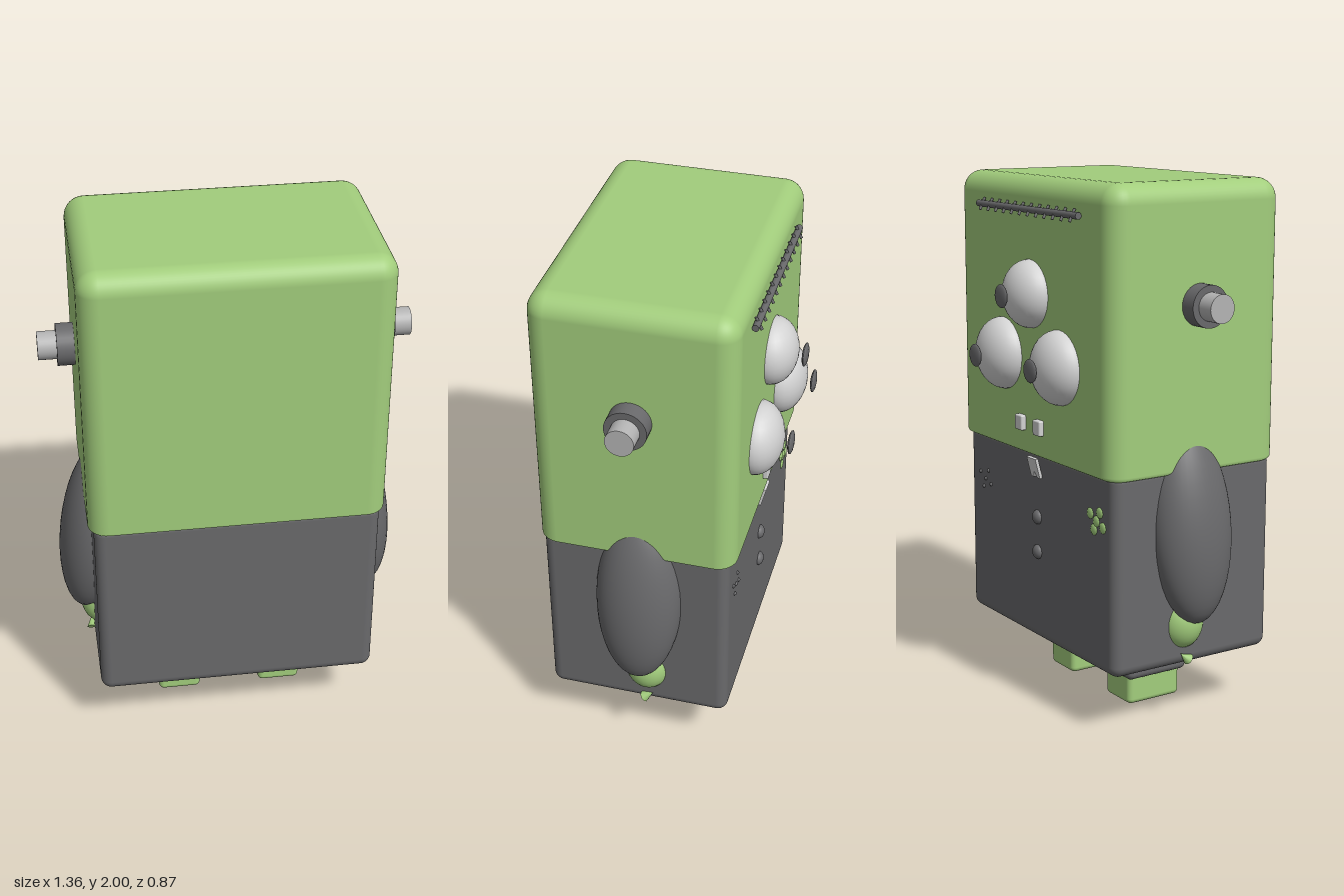
import * as THREE from 'three';
import { RoundedBoxGeometry } from 'three/addons/geometries/RoundedBoxGeometry.js';

export function createModel() {
  const root = new THREE.Group();
  root.name = 'boxMonster';
  const mat = (name, color, side = THREE.FrontSide) => {
    const m = new THREE.MeshStandardMaterial({ color, side });
    m.name = name;
    return m;
  };
  const green = mat('green', 0xa2cd7c);
  const dark = mat('charcoal', 0x69696b);
  const white = mat('offWhite', 0xd2d2d2);
  const grey = mat('boltGrey', 0xb4b4b4);

  const add = (name, geo, material, x, y, z, parent = root) => {
    const m = new THREE.Mesh(geo, material);
    m.name = name;
    m.position.set(x, y, z);
    parent.add(m);
    return m;
  };
  // rounded box given by its limits
  const box = (name, material, x0, x1, y0, y1, z0, z1, r) =>
    add(name, new RoundedBoxGeometry(x1 - x0, y1 - y0, z1 - z0, 5, r), material,
      (x0 + x1) / 2, (y0 + y1) / 2, (z0 + z1) / 2);
  const ball = (name, material, x, y, z, sx, sy, sz, seg = 32) => {
    const m = add(name, new THREE.SphereGeometry(1, seg, seg / 2), material, x, y, z);
    m.scale.set(sx, sy, sz);
    return m;
  };

  // head, with a tighter rounding along its lower rim
  const head = box('head', green, -0.55, 0.55, 0.95, 2.0, -0.305, 0.435, 0.075);
  const p = head.geometry.attributes.position;
  for (let i = 0; i < p.count; i++) {
    const up = p.getY(i) + 0.525;
    if (up < 0.08) p.setY(i, -0.525 + up * 0.35);
  }

  // body and its underside
  box('body', dark, -0.53, 0.53, 0.225, 0.99, -0.28, 0.42, 0.04);
  add('undersidePanel', new THREE.BoxGeometry(0.95, 0.008, 0.58), green, 0, 0.224, 0.07);
  ball('undersideDome', green, 0, 0.225, 0.07, 0.2, 0.02, 0.16);

  for (const s of [1, -1]) {
    // legs and feet
    box('leg', dark, s * 0.203 - 0.112, s * 0.203 + 0.112, 0.108, 0.26, -0.07, 0.2, 0.025);
    box('foot', green, s * 0.203 - 0.083, s * 0.203 + 0.083, 0, 0.16, -0.05, 0.185, 0.02);

    // arms leaning outwards at the bottom, with hand and thumb
    const arm = ball('arm', dark, s * 0.517, 0.755, 0.058, 0.125, 0.365, 0.163, 40);
    arm.rotation.z = s * 0.135;
    ball('hand', green, s * 0.497, 0.385, 0.035, 0.08, 0.1, 0.085);
    const thumb = add('thumb', new THREE.ConeGeometry(0.022, 0.045, 10), green, s * 0.538, 0.262, 0.025);
    thumb.rotation.x = -0.9;

    // ear bolts
    const ear = new THREE.Group();
    ear.name = 'earBolt';
    root.add(ear);
    const ring = add('boltRing', new THREE.CylinderGeometry(0.077, 0.077, 0.075, 32), dark, s * 0.576, 1.567, 0.065, ear);
    const tip = add('boltTip', new THREE.CylinderGeometry(0.052, 0.052, 0.08, 32), grey, s * 0.642, 1.567, 0.065, ear);
    ring.rotation.z = tip.rotation.z = Math.PI / 2;

    // teeth
    box('tooth', white, s * 0.065 - 0.025, s * 0.065 + 0.025, 1.05, 1.108, -0.325, -0.29, 0.006);
  }

  // three eyes with floating pupils
  for (const [x, y, r] of [[0, 1.572, 0.127], [0.202, 1.325, 0.138], [-0.202, 1.325, 0.138]]) {
    ball('eye', white, x, y, -0.305, r, r, 0.097);
    ball('pupil', dark, x, y, -0.427, 0.044, 0.044, 0.011, 16);
  }

  // stitched brow
  const brow = add('brow', new THREE.CylinderGeometry(0.013, 0.013, 0.71, 10), dark, 0, 1.882, -0.318);
  brow.rotation.z = Math.PI / 2;
  for (let i = 0; i < 12; i++) {
    const stitch = add('browStitch', new THREE.CylinderGeometry(0.006, 0.006, 0.05, 6), dark,
      -0.32 + i * 0.0582, 1.882, -0.322);
    stitch.rotation.x = 0.45;
  }

  // notched collar tab
  const tab = new THREE.Shape([[-0.032, 0.04], [-0.032, -0.04], [-0.012, -0.04], [0, -0.012],
    [0.012, -0.04], [0.032, -0.04], [0.032, 0.04]].map(([x, y]) => new THREE.Vector2(x, y)));
  const collar = add('collarTab', new THREE.ExtrudeGeometry(tab, { depth: 0.012, bevelEnabled: false }),
    white, 0, 0.912, -0.298);
  collar.rotation.x = -0.25;

  // buttons
  for (const y of [0.717, 0.58]) ball('button', dark, 0, y, -0.28, 0.028, 0.028, 0.02, 20);

  // chest flower and the matching cluster of dots
  const spots = [[0, 0], [0.04, 0.022], [-0.022, 0.036], [0.016, -0.034], [-0.042, -0.016]];
  for (const [dx, dy] of spots) {
    ball('flowerPetal', green, -0.41 + dx, 0.795 + dy, -0.28, 0.021, 0.021, 0.007, 12);
    ball('chestDot', dark, 0.4 + dx, 0.785 + dy, -0.28, 0.008, 0.008, 0.008, 10);
  }
  return root;
}
